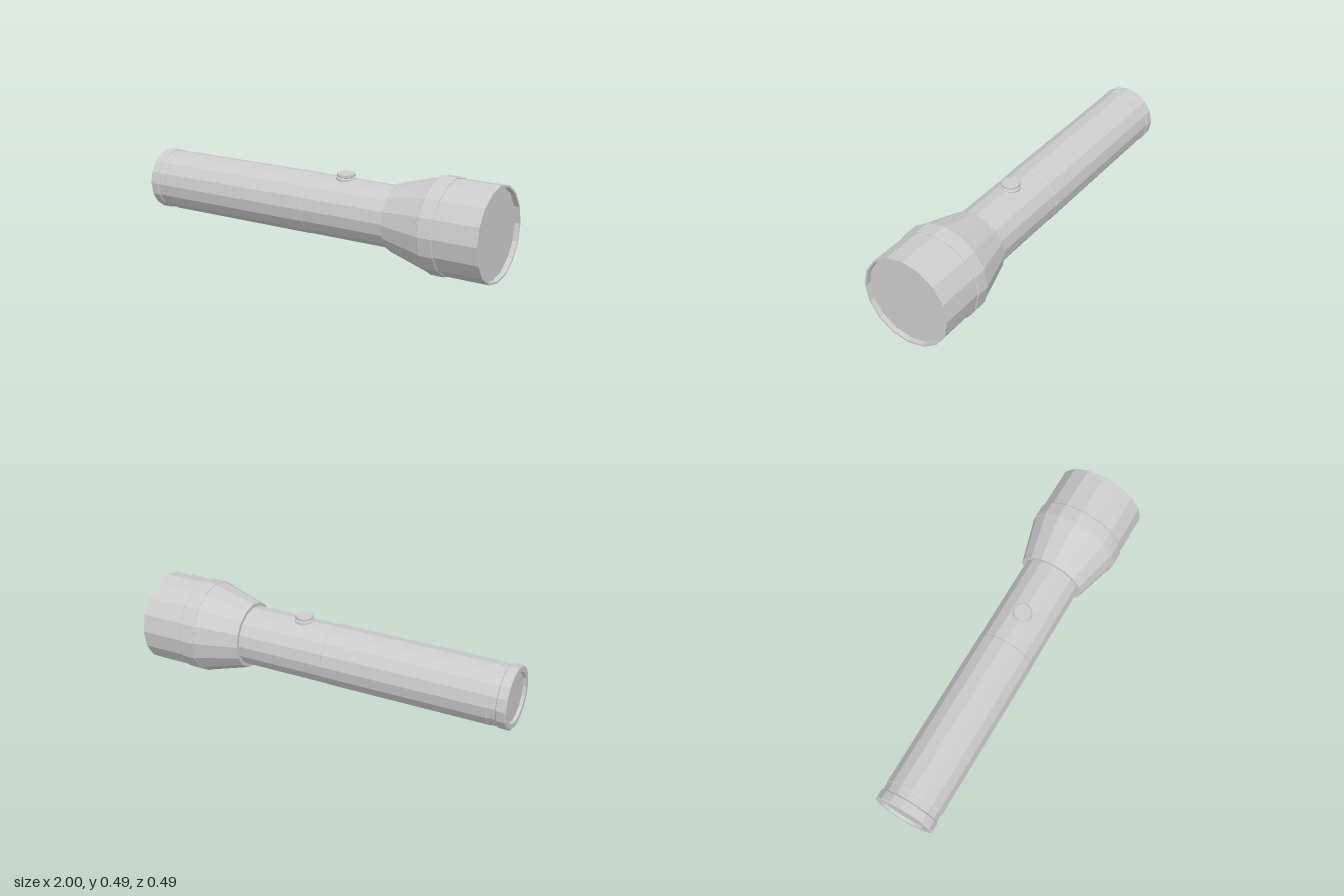
import * as THREE from 'three';

const AXIS_Y = 0.245;

// Faceted lathe; profile points are [position along axis, radius]
function facetedLathe(profile, sides) {
  const points = profile.map(([along, radius]) => new THREE.Vector2(radius, along));
  const geometry = new THREE.LatheGeometry(points, sides).toNonIndexed();
  geometry.computeVertexNormals();
  return geometry;
}

export function createModel() {
  const group = new THREE.Group();
  group.name = 'flashlight';
  const grey = new THREE.MeshStandardMaterial({ color: 0xcccccc });
  grey.name = 'light grey';

  // Sixteen-sided part turned around the horizontal x axis
  function addTurned(name, profile) {
    const geometry = facetedLathe(profile, 16);
    geometry.rotateZ(-Math.PI / 2);
    const mesh = new THREE.Mesh(geometry, grey);
    mesh.name = name;
    mesh.position.y = AXIS_Y;
    group.add(mesh);
  }

  // Tail cap with a shallow recess in its end, and the groove ahead of it
  addTurned('tailCap', [
    [-0.985, 0], [-0.985, 0.125], [-1, 0.13], [-1, 0.157], [-0.995, 0.162],
    [-0.952, 0.162], [-0.947, 0.156], [-0.905, 0.156],
  ]);

  // Barrel in two lengths with a fine seam between them
  addTurned('rearBarrel', [[-0.905, 0.156], [-0.9, 0.159], [-0.02, 0.159], [-0.015, 0.157]]);
  addTurned('frontBarrel', [[-0.015, 0.157], [0.47, 0.157]]);

  // Flared neck of the head
  addTurned('headFlare', [[0.46, 0.15], [0.46, 0.175], [0.688, 0.24]]);

  // Raised collar
  addTurned('collar', [
    [0.688, 0.238], [0.688, 0.242], [0.693, 0.245], [0.765, 0.245], [0.77, 0.242], [0.77, 0.236],
  ]);

  // Bezel with a thin rim, turning in to the recessed lens
  addTurned('bezel', [[0.768, 0.239], [1, 0.239], [1, 0.229], [0.975, 0.228]]);
  addTurned('lens', [[0.975, 0.228], [0.975, 0]]);

  // Push button on top of the barrel
  function addButtonPart(name, profile) {
    const mesh = new THREE.Mesh(facetedLathe(profile, 12), grey);
    mesh.name = name;
    mesh.position.x = 0.155;
    group.add(mesh);
  }
  addButtonPart('buttonBase', [[0.385, 0.05], [0.403, 0.05], [0.407, 0.046], [0.407, 0.036]]);
  addButtonPart('buttonCap', [
    [0.4, 0.038], [0.409, 0.038], [0.413, 0.047], [0.425, 0.047], [0.429, 0.043], [0.429, 0],
  ]);

  return group;
}
